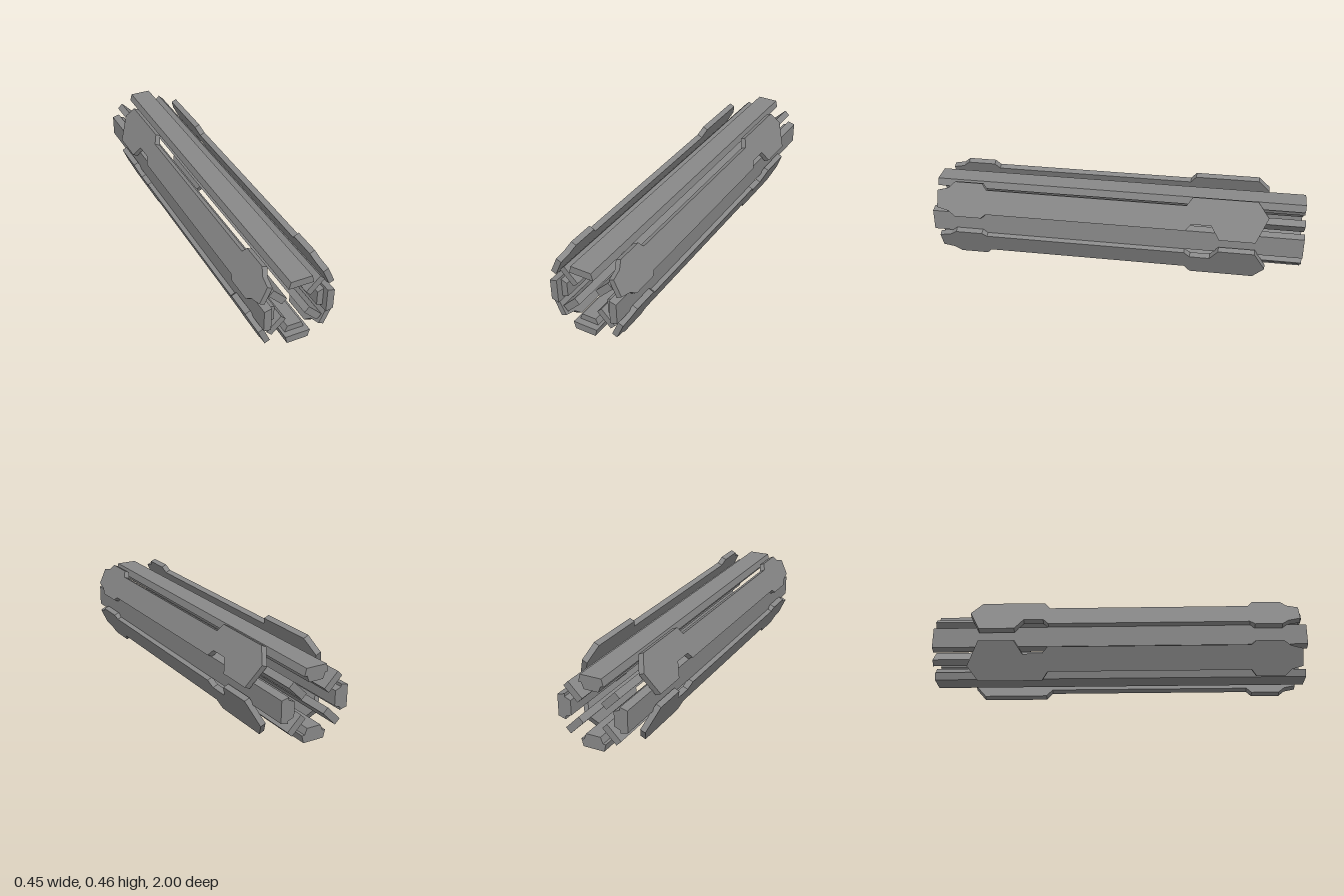
import * as THREE from 'three';

const material = new THREE.MeshStandardMaterial({ color: 0x888888, flatShading: true });
const CENTRE_Y = 0.232;

function extrude(points, depth) {
  const shape = new THREE.Shape(points.map(([x, y]) => new THREE.Vector2(x, y)));
  return new THREE.ExtrudeGeometry(shape, { depth, bevelEnabled: false });
}

function part(name, geometry) {
  const mesh = new THREE.Mesh(geometry, material);
  mesh.name = name;
  return mesh;
}

// Plate outline: [z, height on the slope measured vertically from the plate middle]
const plateOutline = [
  [0.97, 0.04], [0.91, 0.055], [0.875, 0.087], [0.725, 0.087], [0.7, 0.056],
  [-0.38, 0.056], [-0.41, 0.098], [-0.75, 0.098], [-0.81, 0.024], [-0.75, -0.098],
  [-0.56, -0.098], [-0.515, -0.032], [-0.41, -0.032], [-0.38, -0.065], [0.7, -0.065],
  [0.725, -0.085], [0.87, -0.085], [0.905, -0.06], [0.97, -0.045],
];
const TILT = 0.426;
const PLATE_THICKNESS = 0.03;

// Upper plate on one side; the lower ones are its half turn
function plateGeometry(side) {
  const points = plateOutline.map(([z, h]) => [z, h / Math.cos(TILT)]);
  const geometry = extrude(points, PLATE_THICKNESS);
  geometry.translate(0, 0, -PLATE_THICKNESS / 2);
  const along = new THREE.Vector3(0, 0, 1);
  const slope = new THREE.Vector3(-side * Math.sin(TILT), Math.cos(TILT), 0);
  const normal = new THREE.Vector3().crossVectors(along, slope);
  const matrix = new THREE.Matrix4().makeBasis(along, slope, normal);
  matrix.setPosition(side * 0.1665, 0.1275, 0);
  return geometry.applyMatrix4(matrix);
}

export function createModel() {
  const model = new THREE.Group();
  model.name = 'railBundle';
  const core = new THREE.Group();
  core.name = 'core';
  core.position.y = CENTRE_Y;
  model.add(core);

  // Four rails, each a full-length outer bar with a slightly shorter inner bar
  const outer = extrude([[-0.067, 0.149], [0.067, 0.149], [0.057, 0.1885], [-0.057, 0.1885]], 2);
  outer.translate(0, 0, -1);
  const inner = extrude([[-0.039, 0.1165], [0.039, 0.1165], [0.052, 0.149], [-0.052, 0.149]], 1.965);
  inner.translate(0, 0, -1);
  ['topRail', 'rightRail', 'bottomRail', 'leftRail'].forEach((name, i) => {
    const rail = new THREE.Group();
    rail.name = name;
    rail.add(part('outerBar', outer), part('innerBar', inner));
    rail.rotation.z = i * Math.PI / 2;
    core.add(rail);
  });

  // Four diagonal fins between the rails
  const finGeometry = new THREE.BoxGeometry(0.104, 0.037, 1.965);
  for (const sx of [1, -1]) {
    for (const sy of [1, -1]) {
      const fin = part('diagonalFin', finGeometry);
      fin.position.set(sx * 0.101, sy * 0.0875, -0.0175);
      fin.rotation.z = sx * sy * Math.PI / 4;
      core.add(fin);
    }
  }

  // Four sloping side plates
  for (const side of [1, -1]) {
    const geometry = plateGeometry(side);
    for (const turn of [0, Math.PI]) {
      const plate = part(turn ? 'lowerPlate' : 'upperPlate', geometry);
      plate.rotation.z = turn;
      core.add(plate);
    }
  }
  return model;
}
